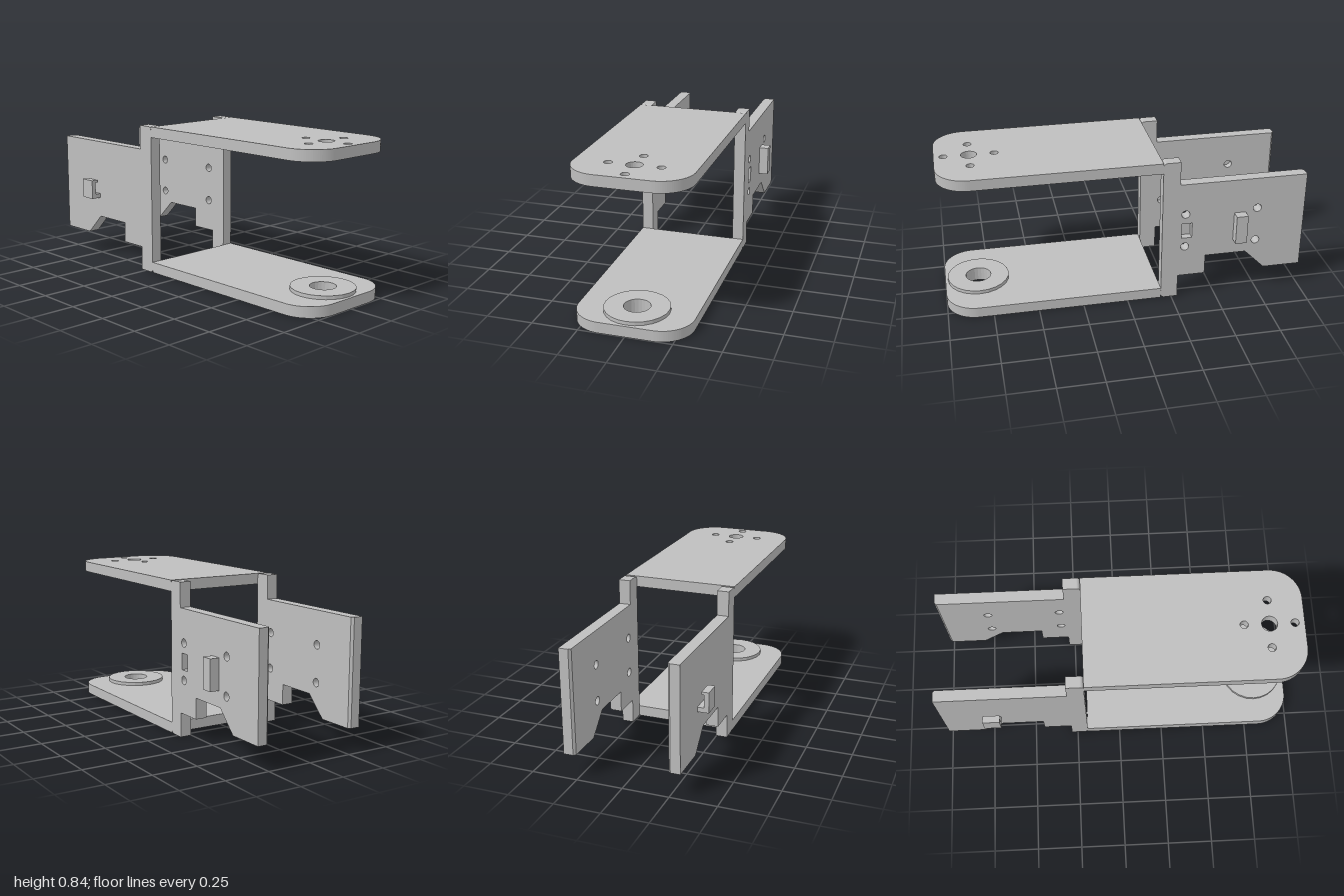
import * as THREE from 'three';

const grey = new THREE.MeshStandardMaterial({ color: 0xbfbfbf });
grey.name = 'light grey';

const X0 = -0.31, X1 = 0.316, T = 0.064; // outer width limits and side thickness
const CX = 0.003, HOLE_Z = 0.812;

function polygon(points) {
  return new THREE.Shape(points.map(([a, b]) => new THREE.Vector2(a, b)));
}

function circle(x, y, r) {
  return new THREE.Path().absarc(x, y, r, 0, Math.PI * 2, true);
}

function extrude(shape, depth) {
  return new THREE.ExtrudeGeometry(shape, { depth, bevelEnabled: false, curveSegments: 12 });
}

// Shape drawn in (x, z), extruded downwards from y = top
function slab(shape, top, height) {
  return extrude(shape, height).rotateX(Math.PI / 2).translate(0, top, 0);
}

// Shape drawn in (-z, y), extruded towards +x from x = start
function sideways(shape, start, width) {
  return extrude(shape, width).rotateY(Math.PI / 2).translate(start, 0, 0);
}

function plateShape(bore) {
  const s = new THREE.Shape(), r = 0.17;
  s.moveTo(X0, -0.19);
  s.lineTo(X1, -0.19);
  s.lineTo(X1, 1 - r);
  s.absarc(X1 - r, 1 - r, r, 0, Math.PI / 2, false);
  s.absarc(X0 + r, 1 - r, r, Math.PI / 2, Math.PI, false);
  s.closePath();
  // Centre bore with four screw holes around it
  s.holes.push(circle(CX, HOLE_Z, bore));
  for (let i = 0; i < 4; i++) {
    const a = i * Math.PI / 2;
    s.holes.push(circle(CX + 0.136 * Math.cos(a), HOLE_Z + 0.136 * Math.sin(a), 0.022));
  }
  return s;
}

// Side profile: tall upright with rounded front corners, then a notched rear panel
function sideShape(withHoles, withSlot) {
  const s = new THREE.Shape(), r = 0.02;
  s.moveTo(0.19, r);
  s.absarc(0.19 + r, r, r, Math.PI, Math.PI * 1.5, false);
  for (const [u, y] of [[0.285, 0], [0.285, 0.135], [0.44, 0.135], [0.44, 0.25],
    [0.672, 0.25], [0.787, 0.135], [0.988, 0.135], [0.988, 0.705], [0.285, 0.705], [0.285, 0.84]]) {
    s.lineTo(u, y);
  }
  s.absarc(0.19 + r, 0.84 - r, r, Math.PI / 2, Math.PI, false);
  s.closePath();
  if (withHoles) {
    for (const u of [0.32, 0.727]) for (const y of [0.32, 0.522]) s.holes.push(circle(u, y, 0.023));
  }
  if (withSlot) s.holes.push(polygon([[0.3, 0.375], [0.3, 0.465], [0.358, 0.465], [0.358, 0.375]]));
  return s;
}

// Rear edge strip with its inner corner chamfered
function rearEdge(outer, inner) {
  const c = Math.sign(outer - inner) * 0.012;
  return slab(polygon([[outer, -0.988], [outer, -1], [inner + c, -1], [inner, -0.988]]), 0.705, 0.57);
}

export function createModel() {
  const model = new THREE.Group();
  model.name = 'bracket';
  const add = (name, geometry, parent = model) => {
    const mesh = new THREE.Mesh(geometry, grey);
    mesh.name = name;
    parent.add(mesh);
  };

  // Horizontal arms
  add('topPlate', slab(plateShape(0.043), 0.84, 0.06));
  add('bottomPlate', slab(plateShape(0.071), 0.06, 0.06));

  // Raised bearing ring on the lower arm
  const ring = new THREE.Shape().absarc(CX, HOLE_Z, 0.173, 0, Math.PI * 2, false);
  ring.holes.push(circle(CX, HOLE_Z, 0.071));
  add('bearingRing', slab(ring, 0.08, 0.02));

  // Left side: through holes, plus a blind slot in the outer layer
  const left = new THREE.Group();
  left.name = 'leftSide';
  add('leftInnerLayer', sideways(sideShape(true, false), X1 - T, 0.024), left);
  add('leftOuterLayer', sideways(sideShape(true, true), X1 - 0.04, 0.04), left);
  add('leftRearEdge', rearEdge(X1, X1 - T), left);
  add('leftBlock', new THREE.BoxGeometry(0.054, 0.168, 0.065).translate(0.342, 0.42, -0.628), left);

  // Right side: blind holes open to the inside
  const right = new THREE.Group();
  right.name = 'rightSide';
  add('rightOuterLayer', sideways(sideShape(false, false), X0, 0.024), right);
  add('rightInnerLayer', sideways(sideShape(true, false), X0 + 0.024, 0.04), right);
  add('rightRearEdge', rearEdge(X0, X0 + T), right);

  // Cable hook
  const hook = polygon([[-0.31, 0.365], [-0.37, 0.365], [-0.37, 0.475], [-0.331, 0.475],
    [-0.331, 0.461], [-0.345, 0.461], [-0.345, 0.39], [-0.31, 0.39]]);
  add('cableHook', extrude(hook, 0.094).translate(0, 0, -0.763), right);

  model.add(left, right);
  return model;
}
